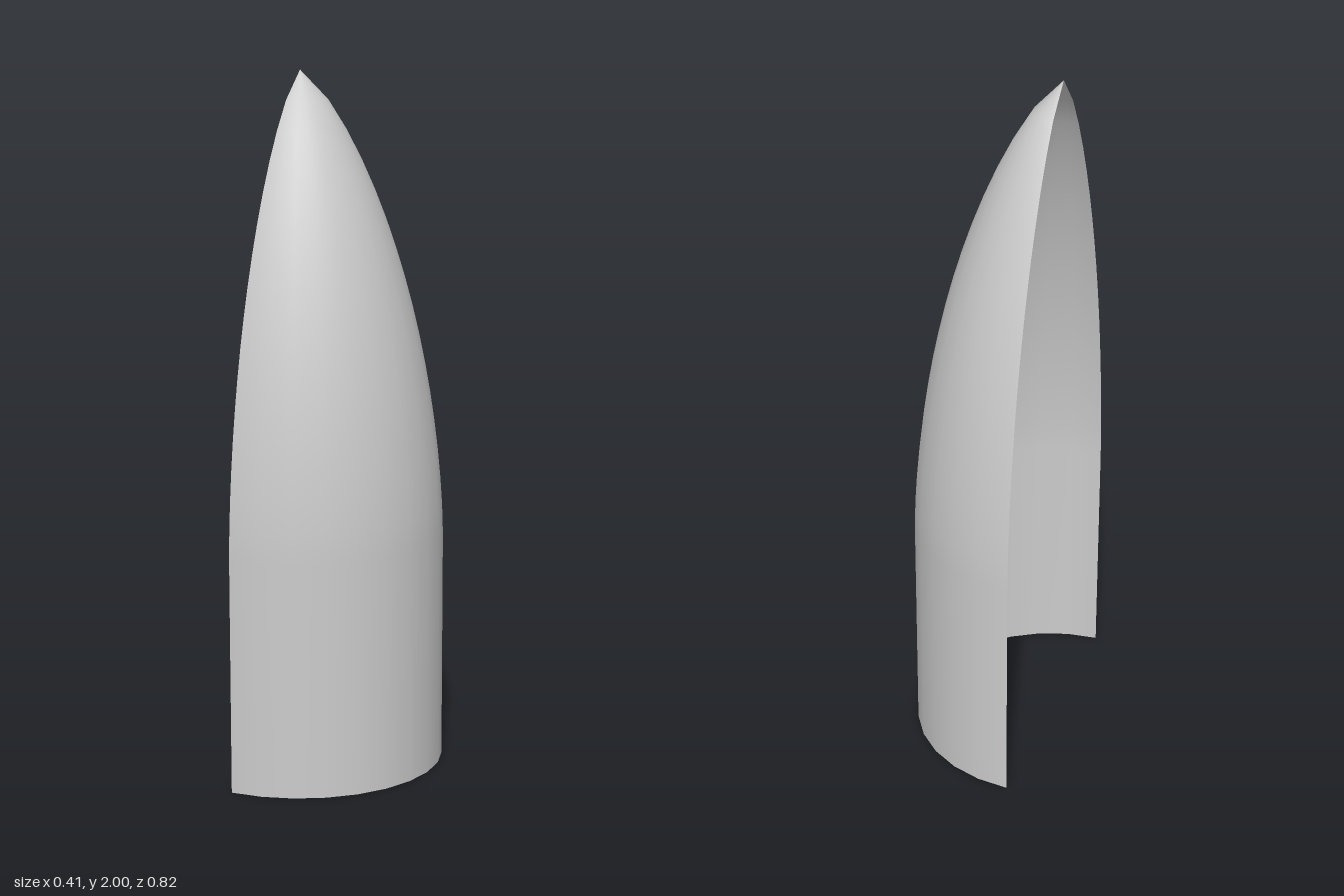
import * as THREE from 'three';

const RADIUS = 0.41, HEIGHT = 2, NOSE = 1.33;

// Radius of the nose curve at a distance below the tip (Haack ogive)
function noseRadius(d) {
  const t = Math.acos(THREE.MathUtils.clamp(1 - (2 * d) / NOSE, -1, 1));
  const area = t - Math.sin(2 * t) / 2 + Math.sin(t) ** 3 / 3;
  return RADIUS * Math.sqrt(Math.max(area, 0) / Math.PI);
}

export function createModel() {
  const group = new THREE.Group();
  group.name = 'fairingHalf';

  // Straight wall, then the curved nose up to the tip
  const profile = [new THREE.Vector2(RADIUS, 0)];
  const steps = 16;
  for (let i = steps; i >= 0; i--) {
    const d = (NOSE * i) / steps;
    profile.push(new THREE.Vector2(noseRadius(d), HEIGHT - d));
  }

  // Half turn only: a thin open shell bulging towards +x
  const shell = new THREE.Mesh(
    new THREE.LatheGeometry(profile, 14, 0, Math.PI),
    new THREE.MeshStandardMaterial({ color: 0xcccccc, side: THREE.DoubleSide })
  );
  shell.name = 'fairingShell';
  shell.position.x = -RADIUS / 2;
  group.add(shell);
  return group;
}
